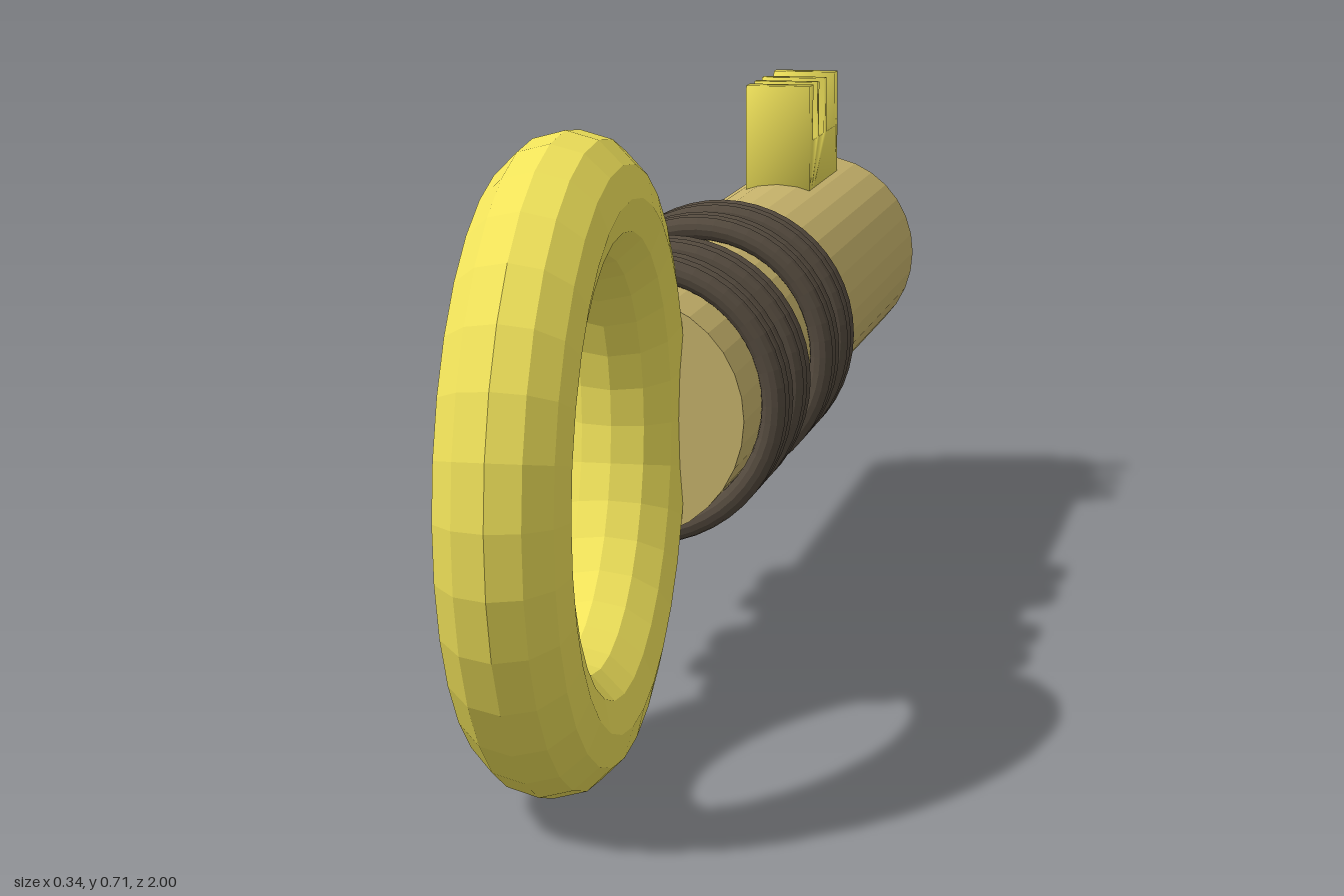
import * as THREE from 'three';
import { mergeVertices } from 'three/addons/utils/BufferGeometryUtils.js';

const AXIS_Y = 0.358;
const SHAFT_R = 0.142;

const gold = new THREE.MeshStandardMaterial({ color: 0xf0e25a, flatShading: true });
const goldSmooth = new THREE.MeshStandardMaterial({ color: 0xf0e25a });
const brass = new THREE.MeshStandardMaterial({ color: 0xc8b46c, flatShading: true });
const dark = new THREE.MeshStandardMaterial({ color: 0x544a3e, flatShading: true });

function addPart(parent, name, geometry, material, y, z) {
  const mesh = new THREE.Mesh(geometry, material);
  mesh.name = name;
  mesh.position.set(0, y, z);
  parent.add(mesh);
  return mesh;
}

// Comb-shaped bit: outline in (-z, y), extruded across x, with soft shared normals
function bitGeometry() {
  const base = 0.47, valley = 0.56, top = 0.638;
  const teeth = [[0.643, 0.672], [0.707, 0.723], [0.766, 0.788], [0.862, 0.887]];
  const shape = new THREE.Shape();
  shape.moveTo(teeth[3][1], base);
  teeth.slice().reverse().forEach(([a, b], i) => {
    if (i > 0) shape.lineTo(b, valley);
    shape.lineTo(b, top);
    shape.lineTo(a, top);
    if (i < 3) shape.lineTo(a, valley);
  });
  shape.lineTo(teeth[0][0], base);
  shape.closePath();
  const geo = new THREE.ExtrudeGeometry(shape, { depth: 0.09, bevelEnabled: false });
  geo.translate(0, 0, -0.045);
  geo.rotateY(Math.PI / 2);
  geo.deleteAttribute('normal');
  geo.deleteAttribute('uv');
  const merged = mergeVertices(geo);
  merged.computeVertexNormals();
  return merged;
}

export function createModel() {
  const key = new THREE.Group();
  key.name = 'key';

  // Handle ring standing in the y-z plane
  const bow = new THREE.TorusGeometry(0.286, 0.0715, 12, 32).rotateY(Math.PI / 2);
  addPart(key, 'handleRing', bow, gold, AXIS_Y, 0.643);

  // Shaft
  const shaft = new THREE.CylinderGeometry(SHAFT_R, SHAFT_R, 1.375, 32).rotateX(Math.PI / 2);
  addPart(key, 'shaft', shaft, brass, AXIS_Y, -0.3125);

  // Four collars, each of three thin bands
  const band = new THREE.TorusGeometry(0.157, 0.0143, 12, 48);
  [0.241, 0.118, -0.099, -0.219].forEach((z, i) => {
    const collar = new THREE.Group();
    collar.name = `collar${i + 1}`;
    for (const dz of [-0.025, 0, 0.025]) addPart(collar, 'collarBand', band, dark, AXIS_Y, z + dz);
    key.add(collar);
  });

  // Toothed bit on top of the shaft
  addPart(key, 'bit', bitGeometry(), goldSmooth, 0, 0);

  return key;
}
